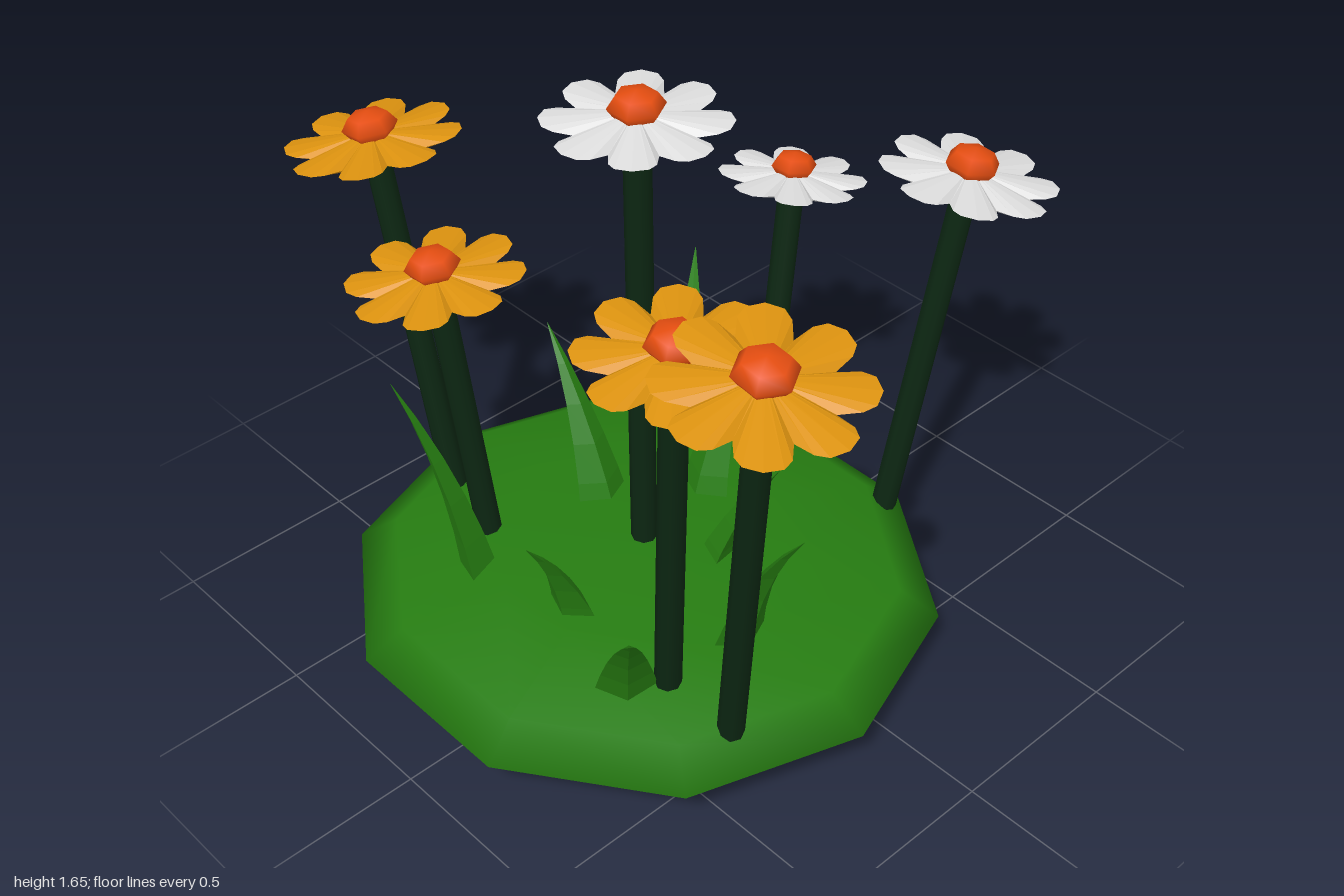
import * as THREE from 'three';

const mat = (name, color, extra = {}) => {
  const m = new THREE.MeshStandardMaterial({ color, ...extra });
  m.name = name;
  return m;
};

// Closed faceted surface from a list of equal-length rings (counter-clockwise seen from below)
function loft(rings) {
  const n = rings[0].length, pos = [];
  const tri = (...pts) => pts.forEach((p) => pos.push(p.x, p.y, p.z));
  for (let k = 0; k < rings.length - 1; k++) {
    for (let i = 0; i < n; i++) {
      const j = (i + 1) % n, a = rings[k], b = rings[k + 1];
      tri(a[i], b[i], b[j]);
      tri(a[i], b[j], a[j]);
    }
  }
  const g = new THREE.BufferGeometry();
  g.setAttribute('position', new THREE.Float32BufferAttribute(pos, 3));
  g.computeVertexNormals();
  return g;
}

// Eight-petalled daisy head: cone underneath, nearly flat on top
function petalGeometry() {
  const steps = [[0, 0.66, 0.052], [0.14, 0.86, 0.06], [0.27, 0.96, 0.064], [0.5, 1, 0.066], [0.73, 0.96, 0.064], [0.86, 0.86, 0.06]];
  const under = [], rim = [], top = [];
  for (let p = 0; p < 8; p++) {
    for (const [f, r, y] of steps) {
      const a = (p - 0.5 + f) * Math.PI / 4, c = Math.cos(a), s = Math.sin(a);
      under.push(new THREE.Vector3(c * 0.03, 0, s * 0.03));
      rim.push(new THREE.Vector3(c * 0.23 * r, y, s * 0.23 * r));
      top.push(new THREE.Vector3(c * 0.03, 0.082, s * 0.03));
    }
  }
  return loft([under, rim, top]);
}

// Curved, tapering grass blade leaning from base to tip
function bladeGeometry(base, tip) {
  const lean = new THREE.Vector3(tip.x - base.x, 0, tip.z - base.z);
  const mid = base.clone().addScaledVector(lean, 0.28);
  mid.y = base.y + (tip.y - base.y) * 0.55;
  const curve = new THREE.QuadraticBezierCurve3(base, mid, tip);
  const out = lean.clone().normalize();
  const side = new THREE.Vector3(-out.z, 0, out.x);
  const rings = [];
  for (let k = 0; k <= 5; k++) {
    const t = k / 5, c = curve.getPoint(t), w = 1 - t * 0.99;
    rings.push([[1, 0], [0, 1], [-1, 0], [0, -1]].map(([o, s]) =>
      c.clone().addScaledVector(out, o * 0.05 * w).addScaledVector(side, s * 0.082 * w)));
  }
  return loft(rings);
}

export function createModel() {
  const model = new THREE.Group();
  const grass = mat('grass green', 0x267c11);
  const stemMat = mat('dark stem green', 0x0c2612);
  const orange = mat('orange petals', 0xdc920f, { side: THREE.DoubleSide });
  const white = mat('white petals', 0xdedede, { side: THREE.DoubleSide });
  const red = mat('flower centre', 0xe44d10);

  const add = (name, geometry, material, parent = model) => {
    const m = new THREE.Mesh(geometry, material);
    m.name = name;
    parent.add(m);
    return m;
  };

  // Flattened ten-sided mound
  const mound = new THREE.SphereGeometry(1, 10, 6);
  mound.rotateY(Math.PI / 10);
  mound.scale(0.78, 0.15, 0.81);
  mound.translate(-0.17, 0.16, -0.035);
  add('mound', mound, grass);

  // Grass blades: base x, z then tip x, y, z
  const blades = [
    [-0.13, -0.23, -0.10, 0.73, -0.485],
    [0.22, -0.28, 0.425, 0.745, -0.46],
    [0.08, -0.07, 0.31, 0.75, -0.105],
    [-0.46, 0.03, -0.64, 0.605, 0.065],
    [-0.06, 0.12, 0.07, 0.63, 0.28],
    [-0.225, 0.38, -0.265, 0.775, 0.64],
    [-0.54, 0.31, -0.715, 0.66, 0.53],
    [-0.53, -0.28, -0.66, 0.855, -0.42],
  ];
  for (const [bx, bz, x, y, z] of blades) {
    add('grassBlade', bladeGeometry(new THREE.Vector3(bx, 0.24, bz), new THREE.Vector3(x, y, z)), grass);
  }

  // Flowers: stem base, flower centre, size, petal colour
  const flowers = [
    [[-0.36, 0.22, -0.60], [-0.41, 1.345, -0.77], 1, orange],
    [[-0.43, 0.22, -0.355], [-0.495, 1.13, -0.43], 1, orange],
    [[-0.17, 0.22, -0.03], [-0.17, 1.62, -0.03], 1, white],
    [[0.375, 0.23, -0.135], [0.52, 1.1, -0.18], 0.87, white],
    [[0.485, 0.2, 0.24], [0.66, 1.265, 0.305], 1.02, white],
    [[-0.46, 0.22, 0.375], [-0.525, 1.4, 0.48], 1, orange],
    [[-0.435, 0.22, 0.575], [-0.51, 1.455, 0.735], 1.07, orange],
  ];
  const petals = petalGeometry();
  const disc = new THREE.SphereGeometry(0.072, 6, 4);
  disc.rotateY(Math.PI / 6);
  disc.scale(1, 0.6, 1);
  const up = new THREE.Vector3(0, 1, 0);
  for (const [b, c, size, colour] of flowers) {
    const base = new THREE.Vector3(...b), centre = new THREE.Vector3(...c);
    const axis = centre.clone().sub(base);
    const length = axis.length() - 0.1 * size;
    const flower = new THREE.Group();
    flower.name = 'flower';
    flower.position.copy(base);
    flower.quaternion.setFromUnitVectors(up, axis.normalize());
    model.add(flower);

    const stem = new THREE.CylinderGeometry(0.035, 0.035, length + 0.02, 8);
    add('stem', stem, stemMat, flower).position.y = length / 2 + 0.01;
    const head = add('petals', petals, colour, flower);
    head.position.y = length;
    head.scale.setScalar(size);
    const middle = add('flowerCentre', disc, red, flower);
    middle.position.y = length + 0.1 * size;
    middle.scale.setScalar(size);
  }
  return model;
}
